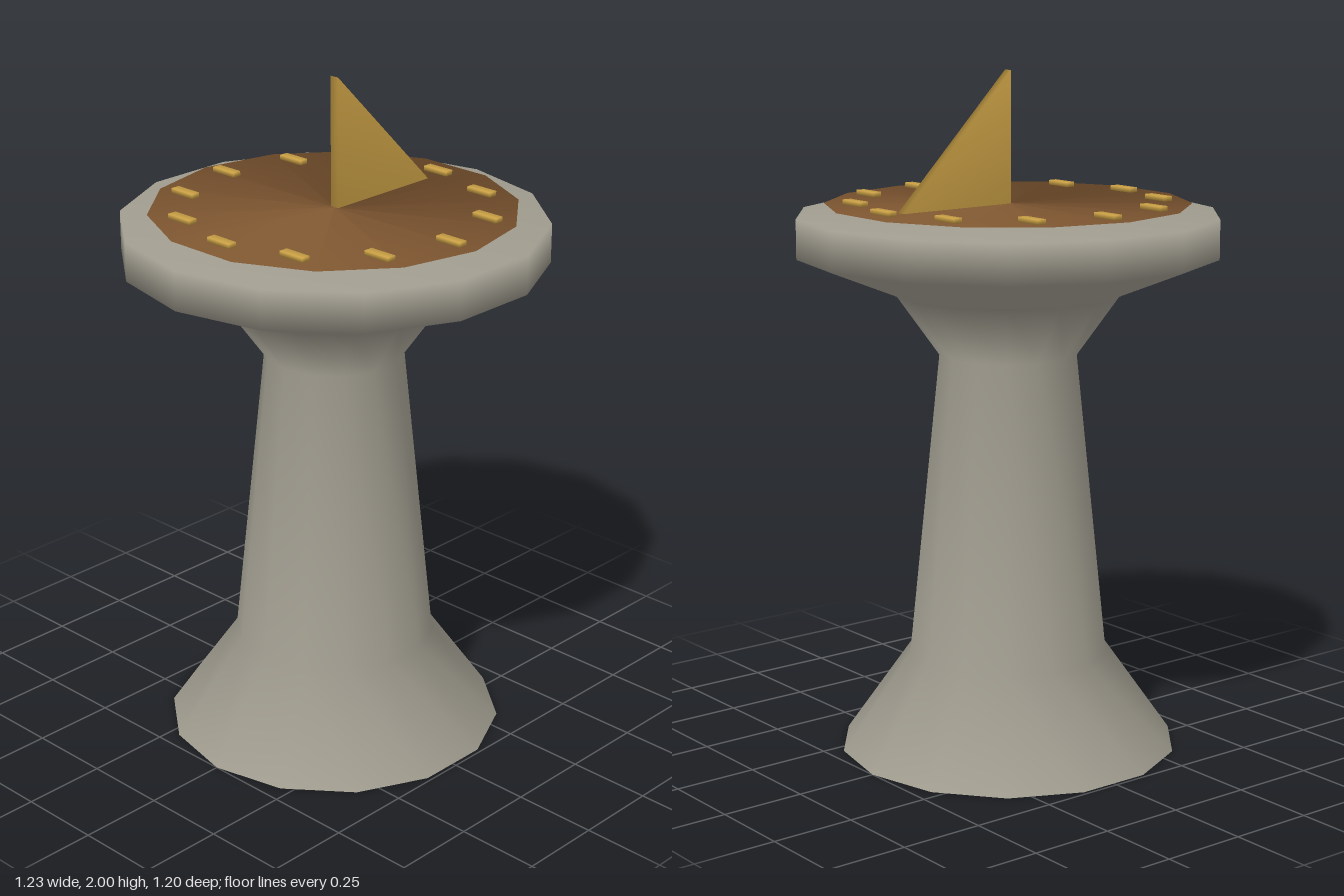
import * as THREE from 'three';
import { mergeVertices } from 'three/addons/utils/BufferGeometryUtils.js';

const SIDES = 14;

// Share corners so the shading rolls softly over the edges
function soften(geometry) {
  geometry.deleteAttribute('normal');
  geometry.deleteAttribute('uv');
  const merged = mergeVertices(geometry, 1e-4);
  merged.computeVertexNormals();
  return merged;
}

// Flat disc that keeps the fanned shading of a 45 degree cone
function fannedDisc(radius) {
  const geometry = new THREE.ConeGeometry(radius, radius, SIDES, 1, true);
  const position = geometry.attributes.position;
  for (let i = 0; i < position.count; i++) position.setY(i, 0);
  return geometry;
}

export function createModel() {
  const model = new THREE.Group();
  model.name = 'sundial';

  const stone = new THREE.MeshStandardMaterial({ color: 0xa09c8f });
  stone.name = 'stone';
  const bronze = new THREE.MeshStandardMaterial({ color: 0x7d5530 });
  bronze.name = 'bronze';
  const brass = new THREE.MeshStandardMaterial({ color: 0xcaa045 });
  brass.name = 'brass';

  function add(name, geometry, material, x = 0, y = 0, z = 0, parent = model) {
    const mesh = new THREE.Mesh(geometry, material);
    mesh.name = name;
    mesh.position.set(x, y, z);
    parent.add(mesh);
    return mesh;
  }

  // Stone pedestal: flared foot, tapering shaft and wide table
  const profile = [
    [0.5, 0], [0.297, 0.29], [0.204, 1.185], [0.328, 1.36],
    [0.615, 1.475], [0.615, 1.59], [0, 1.59],
  ].map(([r, y]) => new THREE.Vector2(r, y));
  add('pedestal', new THREE.LatheGeometry(profile, SIDES, Math.PI / 2), stone);

  // Underside of the foot
  const underside = fannedDisc(0.5).rotateX(Math.PI).rotateY(Math.PI / 2);
  add('footUnderside', underside, stone);

  // Dial plate
  add('dialPlate', fannedDisc(0.53), bronze, 0, 1.62, 0);

  // Upright triangular pointer
  const triangle = new THREE.Shape();
  triangle.moveTo(0, 0);
  triangle.lineTo(0.38, 0);
  triangle.lineTo(0, 0.38);
  triangle.closePath();
  const pointer = new THREE.ExtrudeGeometry(triangle, { depth: 0.028, bevelEnabled: false });
  add('pointer', soften(pointer), brass, 0, 1.62, -0.014);

  // Twelve hour marks, all aligned front to back
  const marks = new THREE.Group();
  marks.name = 'hourMarks';
  model.add(marks);
  const markGeometry = soften(new THREE.BoxGeometry(0.028, 0.014, 0.086));
  for (let i = 0; i < 12; i++) {
    const angle = (i * Math.PI) / 6;
    add('hourMark', markGeometry, brass,
      0.44 * Math.sin(angle), 1.628, 0.44 * Math.cos(angle), marks);
  }

  return model;
}
